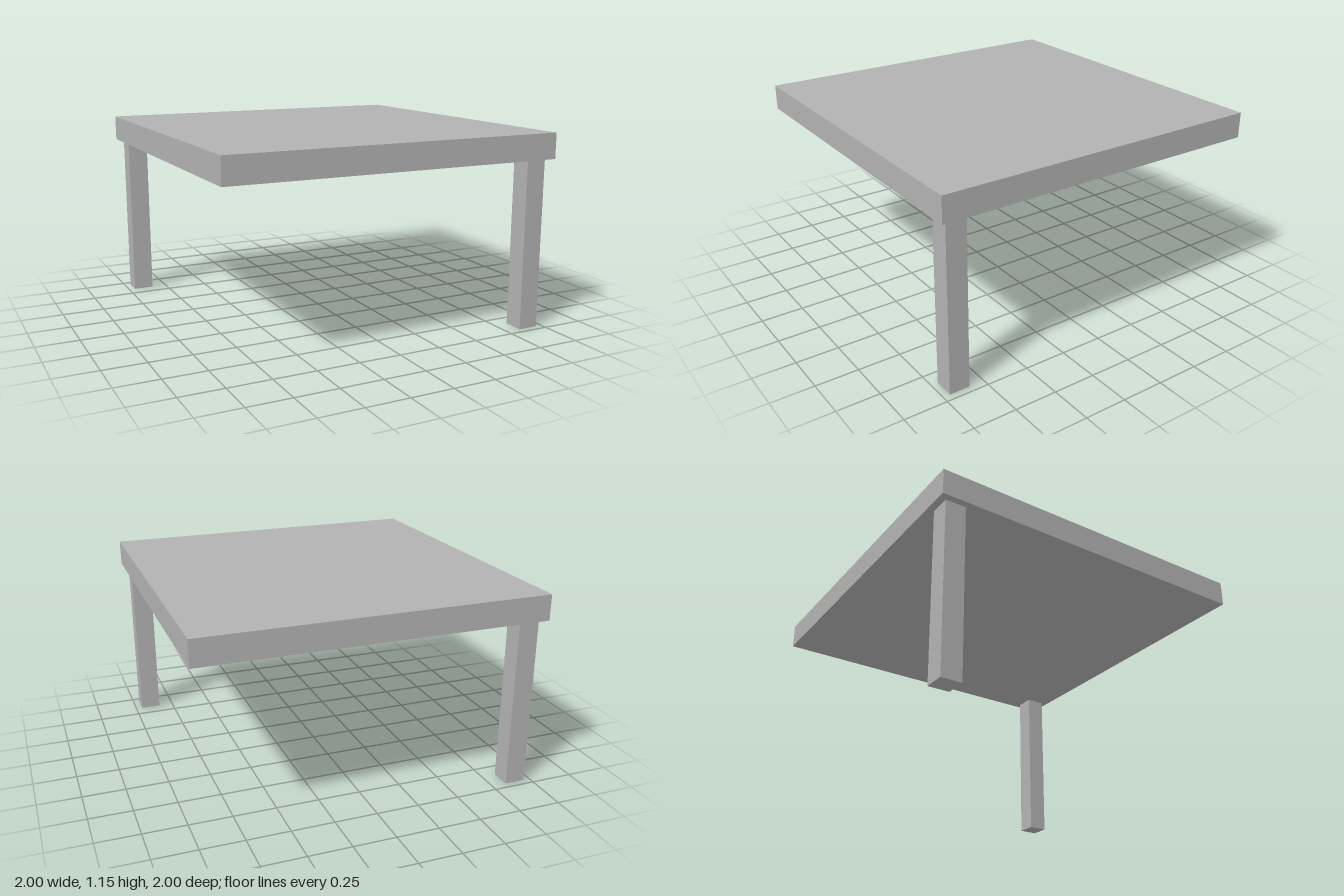
import * as THREE from 'three';

export function createModel() {
  const table = new THREE.Group();
  table.name = 'table';
  const grey = new THREE.MeshStandardMaterial({ color: 0xb2b2b2 });
  grey.name = 'grey';

  const addBox = (name, size, position) => {
    const mesh = new THREE.Mesh(new THREE.BoxGeometry(...size), grey);
    mesh.name = name;
    mesh.position.set(...position);
    table.add(mesh);
  };

  // Thick square slab
  addBox('tableTop', [2, 0.15, 2], [0, 1.075, 0]);

  // Two square legs on opposite corners
  const legInset = 0.9;
  for (const [name, side] of [['frontLeftLeg', 1], ['backRightLeg', -1]]) {
    addBox(name, [0.12, 1, 0.12], [side * legInset, 0.5, side * legInset]);
  }

  return table;
}
